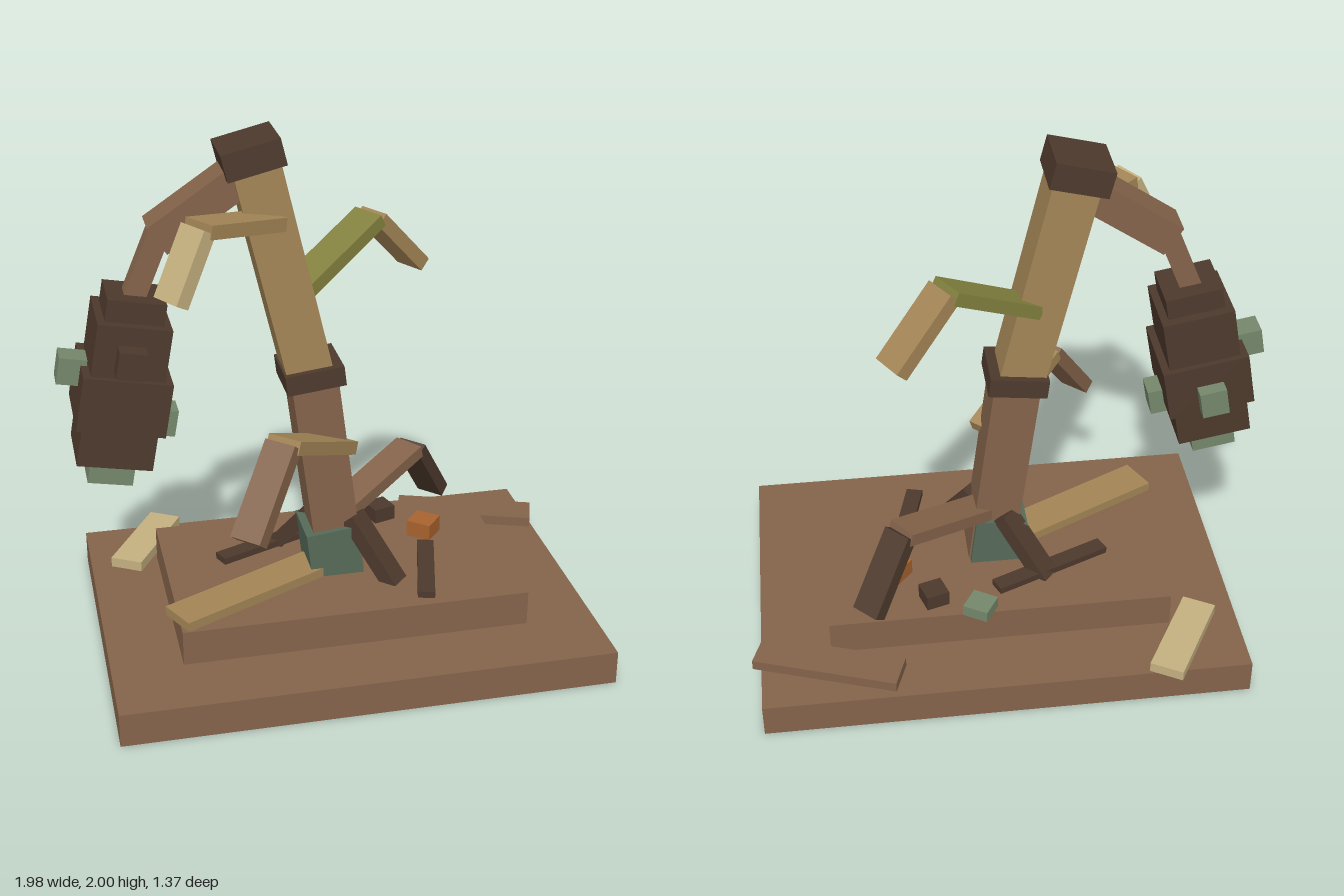
import * as THREE from 'three';

const mat = (name, color) => {
  const m = new THREE.MeshStandardMaterial({ color });
  m.name = name;
  return m;
};

export function createModel() {
  const model = new THREE.Group();
  model.name = 'crookedTree';

  const brown = mat('brown wood', 0x84634a);
  const dark = mat('dark wood', 0x4d392c);
  const tan = mat('tan wood', 0xa38556);
  const pale = mat('pale wood', 0xc4b080);
  const olive = mat('olive leaf', 0x83823f);
  const moss = mat('moss', 0x566a59);
  const sage = mat('sage', 0x74876b);
  const orange = mat('orange', 0xa8632e);

  // Box by size and centre
  const box = (name, m, size, pos, rot = [0, 0, 0], parent = model) => {
    const mesh = new THREE.Mesh(new THREE.BoxGeometry(...size), m);
    mesh.name = name;
    mesh.position.set(...pos);
    mesh.rotation.set(...rot);
    parent.add(mesh);
    return mesh;
  };

  // Plank between two points; its width stays horizontal
  const beam = (name, m, a, b, width, thick) => {
    const p = new THREE.Vector3(...a), q = new THREE.Vector3(...b);
    const mesh = box(name, m, [width, thick, p.distanceTo(q)], [0, 0, 0]);
    mesh.position.copy(p).add(q).multiplyScalar(0.5);
    mesh.lookAt(q);
    return mesh;
  };

  // Stepped base
  box('baseLower', brown, [1.84, 0.13, 1.32], [0.04, 0.065, 0.02]);
  box('baseUpper', brown, [1.31, 0.135, 0.79], [0.04, 0.1975, 0.02]);

  // Leaning trunk with socket, collar and cap
  const z = 0.025;
  box('trunkSocket', moss, [0.2, 0.22, 0.22], [0.015, 0.345, z], [0, 0, 0.12]);
  beam('trunkLower', brown, [0.045, 0.26, z], [-0.06, 1.08, z], 0.175, 0.175);
  beam('trunkUpper', tan, [-0.07, 1.08, z], [-0.262, 1.9, z], 0.172, 0.172);
  box('trunkCollar', dark, [0.22, 0.075, 0.225], [-0.06, 1.085, z], [0, 0, 0.12]);
  box('trunkCap', dark, [0.215, 0.1, 0.22], [-0.273, 1.925, z], [0, 0, 0.24]);

  // Hanging arm
  beam('armUpper', brown, [-0.61, 1.645, 0.02], [-0.29, 1.86, 0.02], 0.14, 0.12);
  beam('armLower', brown, [-0.59, 1.68, 0.02], [-0.695, 1.43, 0.02], 0.075, 0.078);

  // Hanging pod: stacked blocks with knobs
  const pod = new THREE.Group();
  pod.name = 'pod';
  pod.position.set(-0.69, 1.44, 0.02);
  pod.rotation.z = -0.182;
  model.add(pod);
  [['podTop', 0.21, 0.21, 0, 0.1], ['podUpper', 0.265, 0.286, 0.08, 0.275],
    ['podMiddle', 0.32, 0.333, 0.275, 0.48], ['podBottom', 0.275, 0.27, 0.48, 0.628],
  ].forEach(([name, w, d, y0, y1]) =>
    box(name, dark, [w, y1 - y0, d], [0, -(y0 + y1) / 2, 0], [0, 0, 0], pod));
  [['podFrontKnob', dark, [0.1, 0.1, 0.11], [-0.004, -0.199, 0.16]],
    ['podRightKnob', sage, [0.1, 0.1, 0.1], [-0.188, -0.304, 0]],
    ['podLeftKnob', sage, [0.09, 0.1, 0.1], [0.17, -0.474, 0]],
    ['podBackKnob', sage, [0.1, 0.105, 0.1], [-0.005, -0.413, -0.17]],
    ['podTip', sage, [0.165, 0.1, 0.165], [0, -0.668, 0]],
  ].forEach(([name, m, size, pos]) => box(name, m, size, pos, [0, 0, 0], pod));

  // Drooping branches: start, elbow, tip
  [['branchUpperFront', tan, pale, [-0.2, 1.69, 0.08], [-0.49, 1.745, 0.27], [-0.6, 1.51, 0.335], 0.135],
    ['branchUpperLeft', olive, tan, [-0.11, 1.39, 0], [0.215, 1.59, -0.185], [0.415, 1.36, -0.3], 0.14],
    ['branchLowerFront', tan, brown, [0.05, 0.79, 0.07], [-0.225, 0.955, 0.355], [-0.385, 0.67, 0.52], 0.135],
    ['branchLowerLeft', brown, dark, [0.06, 0.475, 0], [0.405, 0.585, -0.25], [0.545, 0.32, -0.385], 0.125],
  ].forEach(([name, m1, m2, a, e, t, w]) => {
    beam(name + 'Inner', m1, a, e, w, 0.05);
    beam(name + 'Outer', m2, e, t, w * 0.92, 0.055);
  });

  // Roots
  beam('rootFront', dark, [0.09, 0.49, 0.09], [0.23, 0.25, 0.22], 0.085, 0.06);
  beam('rootBack', dark, [-0.01, 0.48, -0.06], [-0.16, 0.25, -0.185], 0.085, 0.06);

  // Planks lying on the two steps
  beam('plankTan', tan, [-0.625, 0.283, 0.345], [-0.05, 0.283, 0.06], 0.15, 0.036);
  beam('plankDarkBack', dark, [-0.4, 0.278, -0.06], [0.045, 0.278, -0.25], 0.065, 0.026);
  beam('plankDarkLeft', dark, [0.31, 0.278, 0.37], [0.41, 0.278, -0.01], 0.065, 0.026);
  box('plankBrown', brown, [0.56, 0.04, 0.14], [0.705, 0.15, -0.455], [0, -0.337, 0]);
  box('plankPale', pale, [0.13, 0.04, 0.4], [-0.645, 0.15, -0.485], [0, -0.525, 0]);

  // Loose blocks
  box('blockSage', sage, [0.1, 0.045, 0.1], [0.12, 0.287, -0.36], [0, -0.55, 0]);
  box('blockDark', dark, [0.09, 0.06, 0.09], [0.29, 0.295, -0.28], [0, 0.3, 0]);
  box('blockOrange', orange, [0.1, 0.065, 0.1], [0.43, 0.297, -0.115], [0, -0.7, 0]);

  return model;
}
